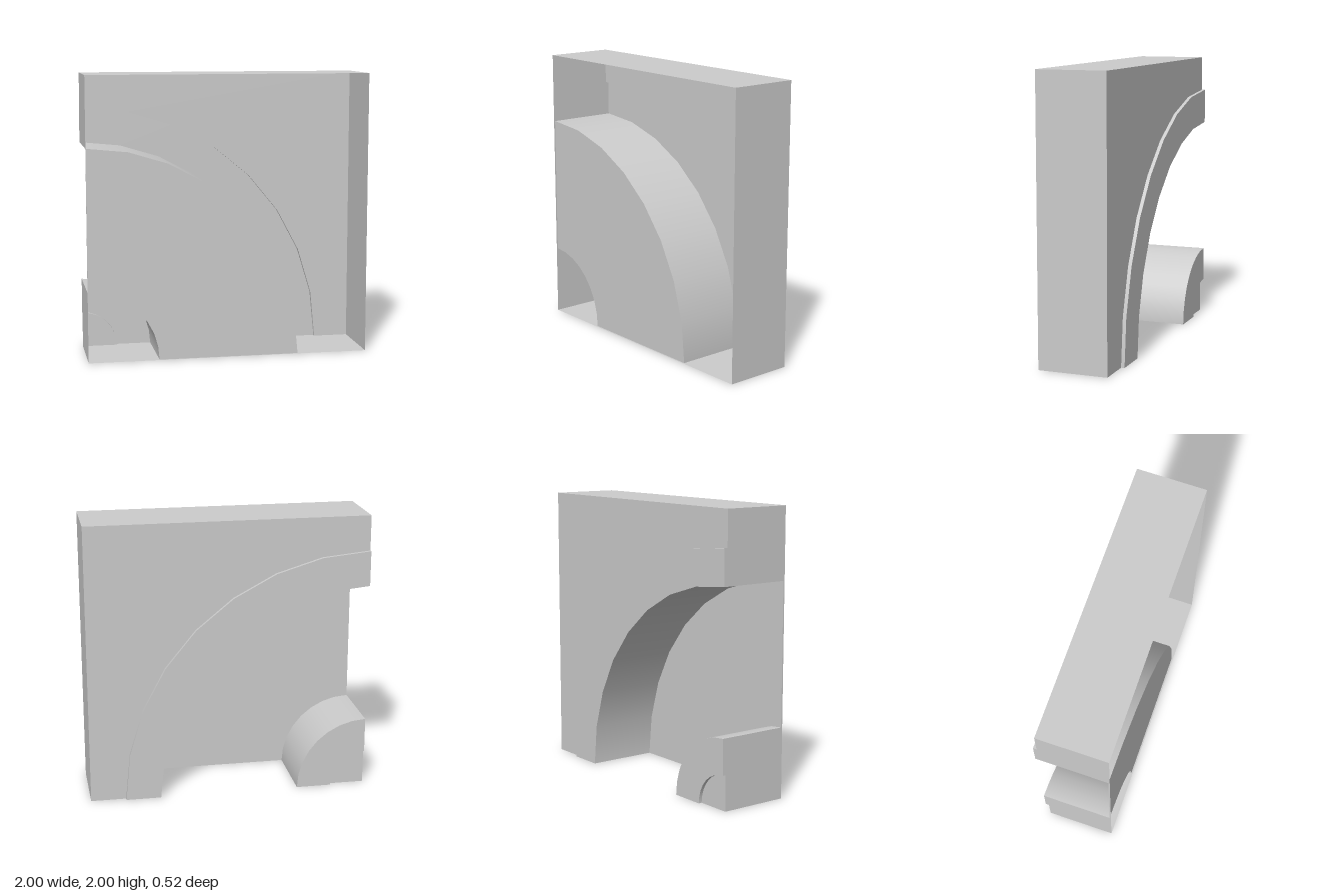
import * as THREE from 'three';

const SEGMENTS = 8;          // facets per quarter arc
const FRONT = 0.26;          // open front edge
const PLATE = 0.25;          // front plate, just behind the edge
const BACK = -0.235;         // back panel
const RIB = -0.26;           // raised rings on the back
const SIZE = 2;
const Q = Math.PI / 2;

export function createModel() {
  const model = new THREE.Group();
  const shell = new THREE.Group();
  shell.name = 'quarterArchShell';
  shell.position.x = -1;     // arcs are centred on the lower corner
  model.add(shell);

  const material = new THREE.MeshStandardMaterial({ color: 0xcccccc, side: THREE.DoubleSide });
  const add = (name, geometry, z = 0) => {
    const mesh = new THREE.Mesh(geometry, material);
    mesh.name = name;
    mesh.position.z = z;
    shell.add(mesh);
    return mesh;
  };

  // Flat quarter ring facing front or back
  const ring = (name, inner, outer, z) =>
    add(name, inner > 0
      ? new THREE.RingGeometry(inner, outer, SEGMENTS, 1, 0, Q)
      : new THREE.CircleGeometry(outer, SEGMENTS, 0, Q), z);

  // Curved quarter wall running along z
  const curvedWall = (name, radius, z0, z1) =>
    add(name, new THREE.CylinderGeometry(radius, radius, z1 - z0, SEGMENTS, 1, true, Q, Q)
      .rotateX(Q), (z0 + z1) / 2);

  // Stepped section, from the corner outwards
  const steps = [
    ['hubPanel', 0, 0.25, BACK],
    ['hubRing', 0.25, 0.5, RIB],
    ['frontPlate', 0.5, 1.5, PLATE],
    ['archRing', 1.5, 1.75, RIB],
    ['cornerPanel', 1.75, SIZE, BACK],
  ];

  steps.forEach(([name, inner, outer, z], i) => {
    if (name !== 'cornerPanel') ring(name, inner, outer, z);

    // Curved step to the next level
    if (i < steps.length - 1) {
      const next = steps[i + 1][3];
      curvedWall(name + 'Step', outer, Math.min(z, next), Math.max(z, next));
    }

    // Straight rims along the bottom and the -x side
    const length = outer - inner, depth = FRONT - z, mid = (inner + outer) / 2;
    add(name + 'BottomRim', new THREE.PlaneGeometry(length, depth).rotateX(Q)
      .translate(mid, 0, 0), (FRONT + z) / 2);
    add(name + 'SideRim', new THREE.PlaneGeometry(depth, length).rotateY(-Q)
      .translate(0, mid, 0), (FRONT + z) / 2);
  });

  // Back panel outside the arch
  const corner = new THREE.Shape();
  corner.moveTo(1.75, 0);
  corner.lineTo(SIZE, 0);
  corner.lineTo(SIZE, SIZE);
  corner.lineTo(0, SIZE);
  corner.lineTo(0, 1.75);
  corner.absarc(0, 0, 1.75, Q, 0, true);
  add('cornerPanel', new THREE.ShapeGeometry(corner, SEGMENTS / 2), BACK);

  // Full outer walls
  const depth = FRONT - BACK, middle = (FRONT + BACK) / 2;
  add('topWall', new THREE.PlaneGeometry(SIZE, depth).rotateX(-Q).translate(1, SIZE, 0), middle);
  add('outerWall', new THREE.PlaneGeometry(depth, SIZE).rotateY(Q).translate(SIZE, 1, 0), middle);

  return model;
}
